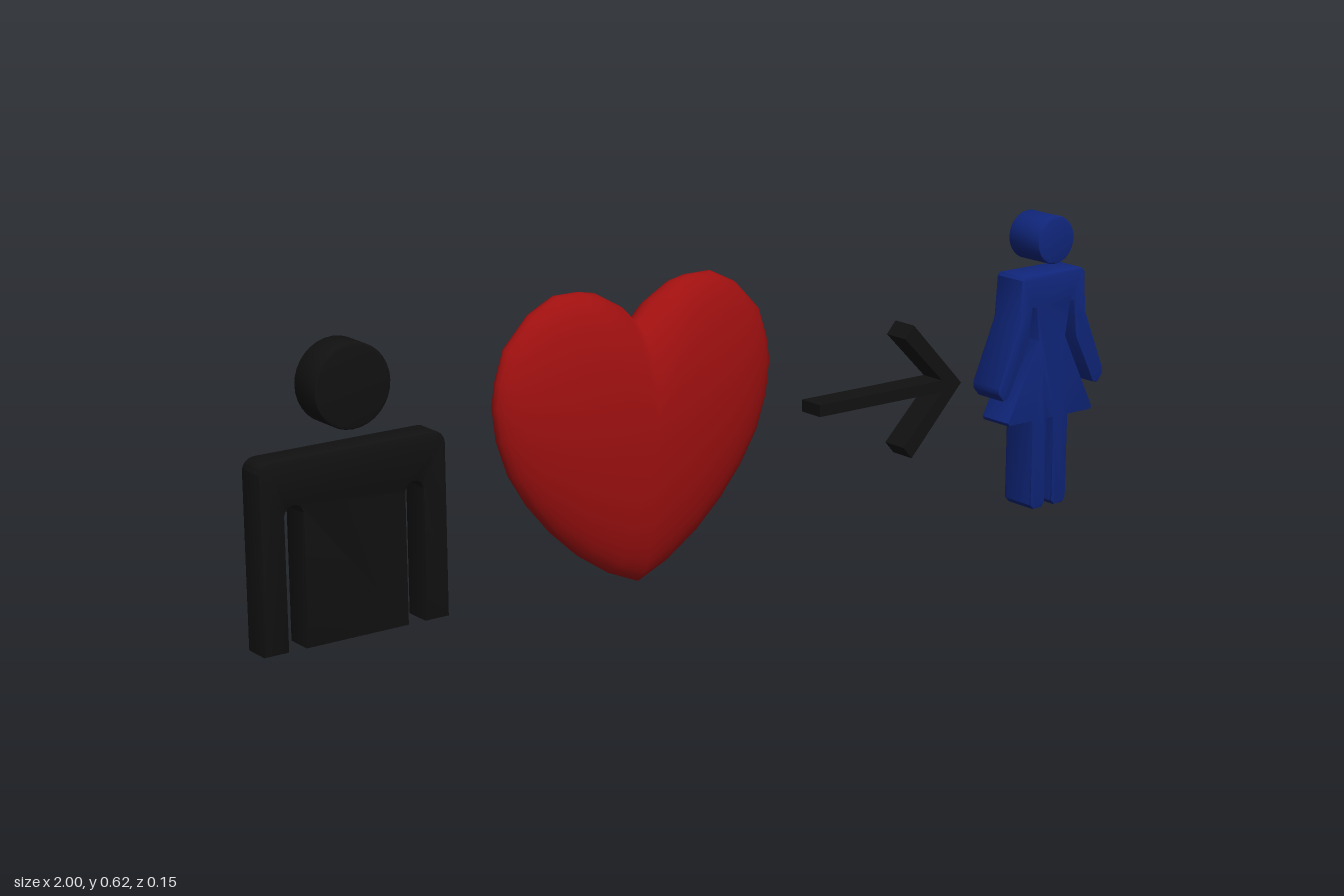
import * as THREE from 'three';
import { toCreasedNormals } from 'three/addons/utils/BufferGeometryUtils.js';

const black = new THREE.MeshStandardMaterial({ color: 0x111111 });
const blue = new THREE.MeshStandardMaterial({ color: 0x10267c });
const red = new THREE.MeshStandardMaterial({ color: 0xa01010 });

// Flat part cut from a shape, spanning z0..z1, with a small rounded edge
function plate(name, shape, material, z0, z1, bevel = 0.005) {
  const geo = new THREE.ExtrudeGeometry(shape, {
    depth: z1 - z0 - 2 * bevel,
    bevelEnabled: bevel > 0,
    bevelThickness: bevel,
    bevelSize: bevel,
    bevelOffset: -bevel,
    bevelSegments: 2,
    curveSegments: 16,
  });
  geo.translate(0, 0, z0 + bevel);
  const mesh = new THREE.Mesh(toCreasedNormals(geo, 0.7), material);
  mesh.name = name;
  return mesh;
}

// Closed outline from its +x half, mirrored about x = 0
function mirrored(half) {
  const left = half.filter(([x]) => x > 0).reverse().map(([x, y]) => [-x, y]);
  return [...half, ...left];
}

const toShape = (pts) => new THREE.Shape(pts.map(([x, y]) => new THREE.Vector2(x, y)));

function disc(y, r) {
  const s = new THREE.Shape();
  s.absarc(0, y, r, 0, Math.PI * 2);
  return s;
}

function createMan() {
  const man = new THREE.Group();
  man.name = 'man';
  const w = 0.19, top = 0.41, base = 0.06, r = 0.025;
  const slotOut = 0.141, slotIn = 0.105, slotR = 0.018, slotTop = 0.307;
  const s = new THREE.Shape();
  s.moveTo(-w, base);
  // Left and right arm slots
  s.lineTo(-slotOut, base);
  s.lineTo(-slotOut, slotTop);
  s.absarc(-(slotOut + slotIn) / 2, slotTop, slotR, Math.PI, 0, true);
  s.lineTo(-slotIn, base);
  s.lineTo(slotIn, base);
  s.lineTo(slotIn, slotTop);
  s.absarc((slotOut + slotIn) / 2, slotTop, slotR, Math.PI, 0, true);
  s.lineTo(slotOut, base);
  s.lineTo(w, base);
  // Rounded shoulders
  s.lineTo(w, top - r);
  s.absarc(w - r, top - r, r, 0, Math.PI / 2);
  s.lineTo(-w + r, top);
  s.absarc(-w + r, top - r, r, Math.PI / 2, Math.PI);
  man.add(plate('manBody', s, black, -0.025, 0.037));
  man.add(plate('manHead', disc(0.52, 0.078), black, -0.03, 0.041));
  man.position.x = -0.81;
  return man;
}

function createWoman() {
  const woman = new THREE.Group();
  woman.name = 'woman';
  const half = [
    [0, 0.498], [0.079, 0.498], [0.086, 0.491], [0.092, 0.405],   // shoulder
    [0.147, 0.275], [0.146, 0.262], [0.133, 0.246], [0.12, 0.249], // hand
    [0.066, 0.355], [0.057, 0.43], [0.048, 0.43],                  // armpit
    [0.037, 0.36], [0.119, 0.197], [0.115, 0.19],                  // waist, skirt
    [0.05, 0.19], [0.05, 0.01], [0.041, 0], [0.018, 0],            // leg
    [0.009, 0.01], [0.009, 0.19],
  ];
  woman.add(plate('womanBody', toShape(mirrored(half)), blue, -0.032, 0.048, 0.004));
  woman.add(plate('womanHead', disc(0.567, 0.05), blue, -0.035, 0.055));
  woman.position.x = 0.853;
  woman.children[1].position.x = -0.004;
  return woman;
}

function createArrow() {
  const upper = [[0.617, 0], [0.488, 0.137], [0.466, 0.112], [0.566, 0.012], [0.248, 0.012]];
  const lower = upper.slice(1).reverse().map(([x, y]) => [x, -y]);
  const arrow = plate('arrow', toShape([...upper, ...lower]), black, -0.025, 0.031, 0);
  arrow.position.y = 0.3;
  return arrow;
}

// Heart: outline rings shrink toward the middle while the surface swells
function createHeart() {
  const outline = mirrored([
    [0, 0.187], [0.035, 0.222], [0.09, 0.253], [0.125, 0.26], [0.178, 0.26], [0.235, 0.232],
    [0.29, 0.175], [0.31, 0.115], [0.317, 0.07], [0.309, 0.005], [0.285, -0.065], [0.245, -0.13],
    [0.195, -0.19], [0.135, -0.245], [0.065, -0.292], [0, -0.32],
  ]);
  const n = outline.length, rings = 24, pos = [], index = [];
  for (let i = 0; i <= rings; i++) {
    const a = (Math.PI * i) / rings;
    for (const [x, y] of outline) {
      pos.push(x * Math.sin(a), y * Math.sin(a), 0.077 * Math.cos(a));
    }
  }
  for (let i = 0; i < rings; i++) {
    for (let j = 0; j < n; j++) {
      const a = i * n + j, b = i * n + ((j + 1) % n);
      if (i > 0) index.push(a, b, a + n);
      if (i < rings - 1) index.push(b, b + n, a + n);
    }
  }
  const geo = new THREE.BufferGeometry();
  geo.setAttribute('position', new THREE.Float32BufferAttribute(pos, 3));
  geo.setIndex(index);
  // Close the poles: the first and last ring share one normal
  geo.computeVertexNormals();
  const normal = geo.attributes.normal;
  for (let j = 0; j < n; j++) {
    normal.setXYZ(j, 0, 0, 1);
    normal.setXYZ(rings * n + j, 0, 0, -1);
  }
  const heart = new THREE.Mesh(geo, red);
  heart.name = 'heart';
  heart.position.set(-0.177, 0.35, 0);
  return heart;
}

export function createModel() {
  const model = new THREE.Group();
  model.name = 'manHeartArrowWoman';
  model.add(createMan(), createHeart(), createArrow(), createWoman());
  return model;
}
